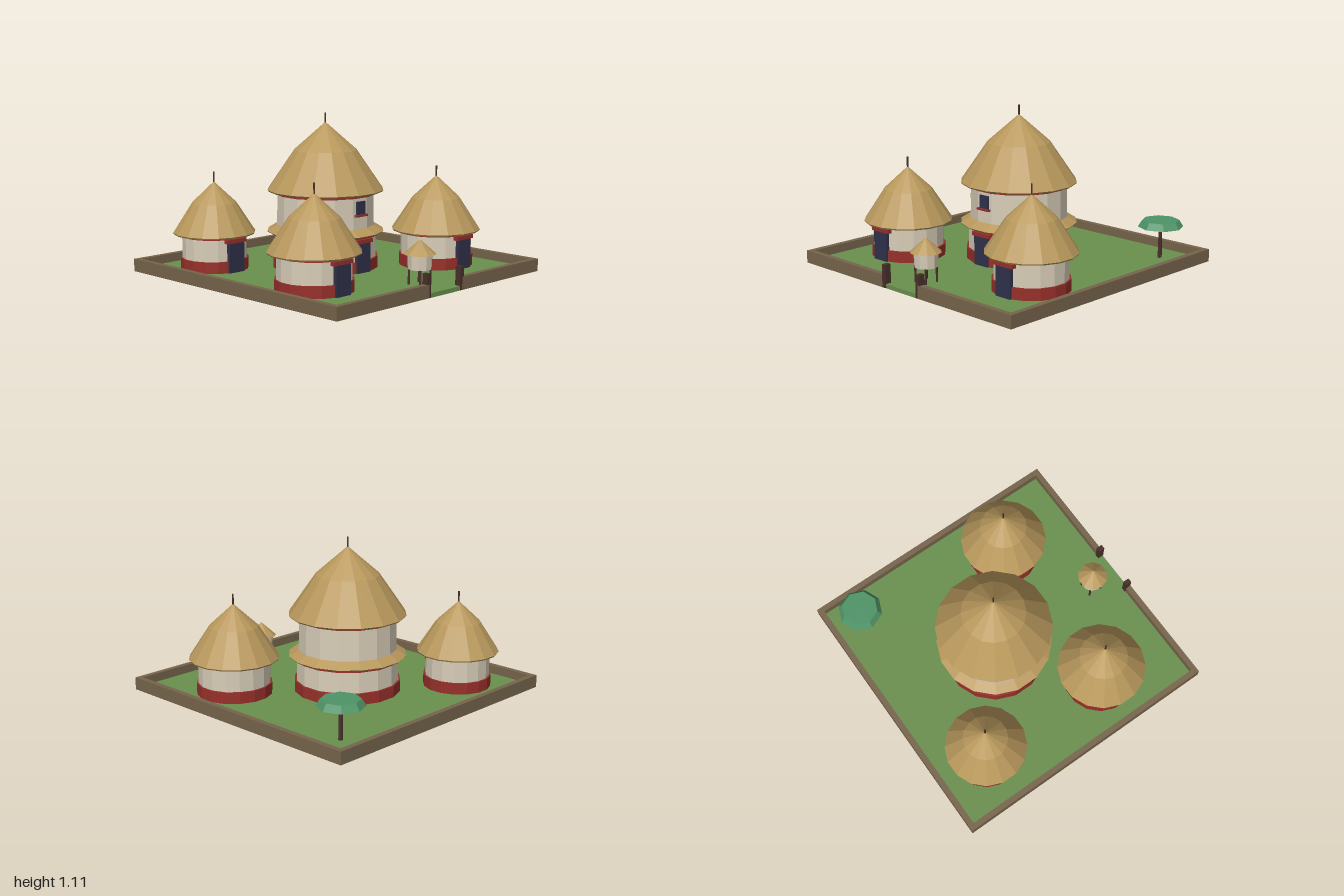
import * as THREE from 'three';

const mat = (name, color, extra = {}) => {
  const m = new THREE.MeshStandardMaterial({ color, flatShading: true, ...extra });
  m.name = name;
  return m;
};

export function createModel() {
  const thatch = mat('thatch', 0xb8985c);
  const plaster = mat('plaster', 0xd8cdb8);
  const red = mat('redOchre', 0x98302a);
  const blue = mat('darkBlue', 0x30324c);
  const wood = mat('darkWood', 0x49302a);
  const earth = mat('earthWall', 0x77654c);
  const grass = mat('grass', 0x6a904e);
  const leaf = mat('foliage', 0x4f9468);

  const GROUND = 0.03;
  const root = new THREE.Group();
  root.name = 'compound';

  const add = (parent, name, geometry, material, x = 0, y = 0, z = 0) => {
    const mesh = new THREE.Mesh(geometry, material);
    mesh.name = name;
    mesh.position.set(x, y, z);
    parent.add(mesh);
    return mesh;
  };
  // box given by its bottom and top heights
  const box = (parent, name, material, w, y0, y1, d, x = 0, z = 0) =>
    add(parent, name, new THREE.BoxGeometry(w, y1 - y0, d), material, x, (y0 + y1) / 2, z);
  // upright drum with a flat side towards the front
  const drum = (parent, name, material, r0, r1, y0, y1, sides = 16, x = 0, z = 0) =>
    add(parent, name, new THREE.CylinderGeometry(r1, r0, y1 - y0, sides, 1, false, Math.PI / sides),
      material, x, (y0 + y1) / 2, z);
  const lathe = (parent, name, material, points, sides = 16) =>
    add(parent, name, new THREE.LatheGeometry(
      points.map(([r, y]) => new THREE.Vector2(r, y)), sides, Math.PI / sides), material);

  // thatched roof with thick eaves, a steep skirt and a flatter crown
  const roof = (parent, r, y0, y1, sides) =>
    lathe(parent, 'roof', thatch, [
      [0, y0], [r * 0.98, y0], [r, y0 + 0.01],
      [r * 0.54, y0 + (y1 - y0) * 0.595], [0, y1],
    ], sides);

  const door = (parent, r) => {
    box(parent, 'door', blue, 0.13, GROUND, 0.237, 0.03, 0, r);
    box(parent, 'lintel', red, 0.17, 0.235, 0.262, 0.036, 0, r);
  };

  const hut = (name, x, z, wallR, roofR, apex) => {
    const g = new THREE.Group();
    g.name = name;
    g.position.set(x, 0, z);
    root.add(g);
    drum(g, 'wall', plaster, wallR, wallR, GROUND, 0.27);
    drum(g, 'baseBand', red, wallR + 0.012, wallR + 0.012, GROUND, 0.11);
    drum(g, 'topBand', red, wallR + 0.006, wallR + 0.006, 0.26, 0.278);
    door(g, wallR);
    roof(g, roofR, 0.275, apex);
    drum(g, 'finial', wood, 0.006, 0.006, apex - 0.03, apex + 0.068, 6);
  };

  // ground and boundary wall with a gate gap at the front
  box(root, 'ground', grass, 1.992, 0, GROUND, 1.992);
  box(root, 'backWall', earth, 2, 0.002, 0.09, 0.04, 0, -0.98);
  for (const s of [-1, 1]) {
    box(root, 'sideWall', earth, 0.04, 0.002, 0.09, 1.92, s * 0.98, 0);
    box(root, 'frontWall', earth, 0.835, 0.002, 0.09, 0.04, s * 0.5825, 0.98);
    box(root, 'gatePost', wood, 0.035, 0.002, 0.16, 0.045, s * 0.165, 0.9775);
  }

  // small huts
  hut('leftHut', 0.6, 0.4, 0.25, 0.313, 0.662);
  hut('rightHut', -0.6, 0.4, 0.25, 0.313, 0.662);
  hut('backHut', -0.6, -0.6, 0.225, 0.287, 0.637);

  // two-storey main house
  const main = new THREE.Group();
  main.name = 'mainHouse';
  main.position.set(0, 0, -0.105);
  root.add(main);
  drum(main, 'lowerWall', plaster, 0.36, 0.355, GROUND, 0.28);
  drum(main, 'baseBand', red, 0.372, 0.372, GROUND, 0.11);
  drum(main, 'middleBand', red, 0.365, 0.365, 0.257, 0.282);
  lathe(main, 'skirtRoof', thatch, [[0.33, 0.28], [0.405, 0.28], [0.412, 0.288], [0.335, 0.336]]);
  drum(main, 'upperWall', plaster, 0.345, 0.34, 0.28, 0.56);
  drum(main, 'upperBand', red, 0.35, 0.35, 0.545, 0.567);
  door(main, 0.36);
  box(main, 'window', blue, 0.08, 0.43, 0.522, 0.02, 0, 0.338);
  box(main, 'windowSill', red, 0.112, 0.418, 0.432, 0.035, 0, 0.342);
  roof(main, 0.41, 0.565, 1.045);
  drum(main, 'finial', wood, 0.006, 0.006, 1.0, 1.11, 6);

  // raised granary
  const granary = new THREE.Group();
  granary.name = 'granary';
  granary.position.set(0, 0, 0.775);
  root.add(granary);
  for (const sx of [-1, 1]) {
    for (const sz of [-1, 1]) {
      drum(granary, 'leg', wood, 0.008, 0.008, GROUND, 0.14, 6, sx * 0.05, sz * 0.05);
    }
  }
  drum(granary, 'bin', plaster, 0.08, 0.085, 0.135, 0.24, 10);
  lathe(granary, 'granaryRoof', thatch, [[0, 0.233], [0.108, 0.235], [0, 0.332]], 10);

  // flat-topped tree
  const tree = new THREE.Group();
  tree.name = 'tree';
  tree.position.set(0.75, 0, -0.76);
  root.add(tree);
  drum(tree, 'trunk', wood, 0.016, 0.013, GROUND, 0.26, 6);
  add(tree, 'canopy', new THREE.CylinderGeometry(0.13, 0.16, 0.047, 8), leaf, 0, 0.279, 0);

  return root;
}
